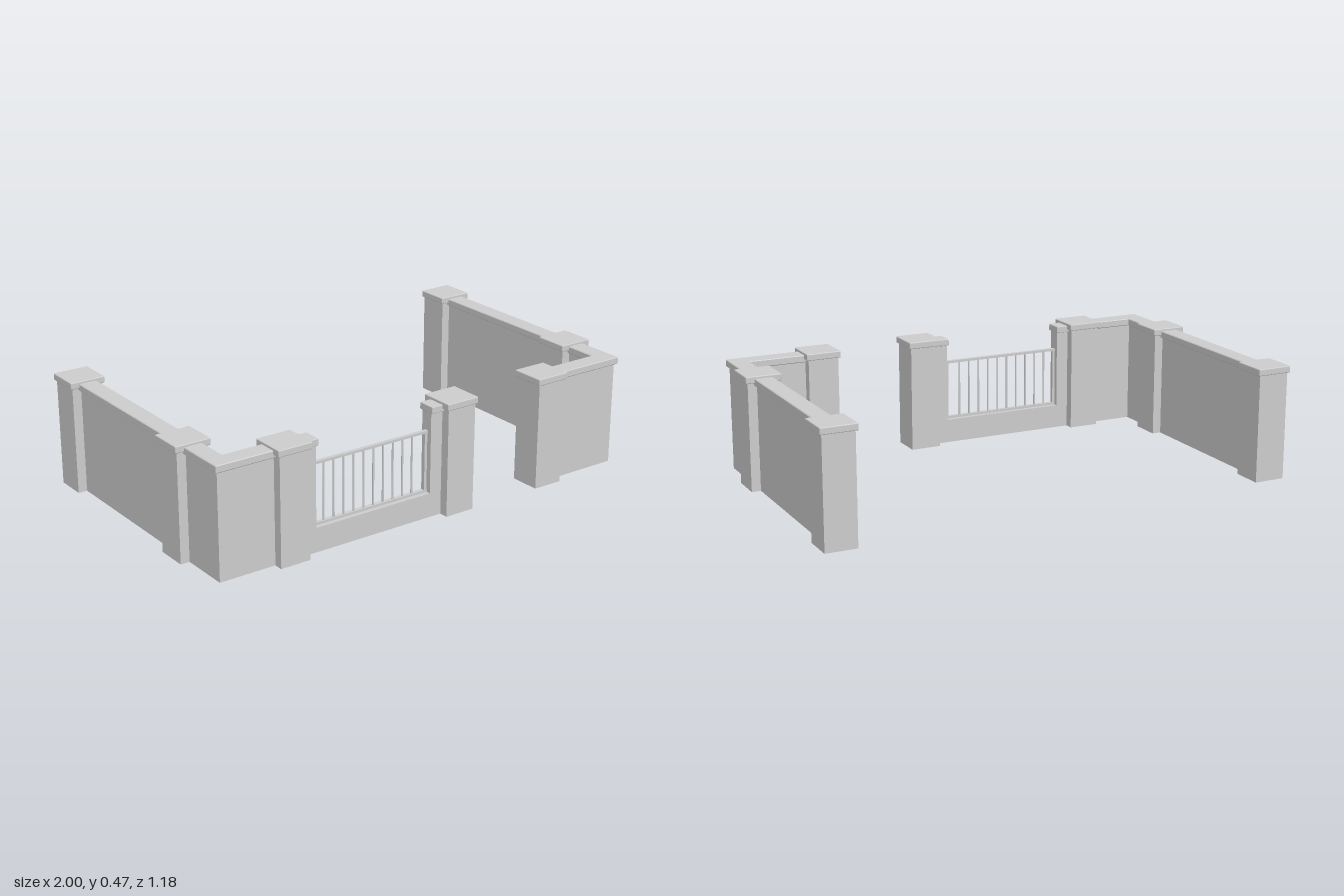
import * as THREE from 'three';
import { RoundedBoxGeometry } from 'three/addons/geometries/RoundedBoxGeometry.js';

const material = new THREE.MeshStandardMaterial({ color: 0xcccccc });
const FRONT = 0.517;  // centre line of the front wall (z)
const SIDE = 0.925;   // centre line of the side walls (x)
const BACK = -0.52;

function add(parent, name, geometry, x = 0, y = 0, z = 0) {
  const mesh = new THREE.Mesh(geometry, material);
  mesh.name = name;
  mesh.position.set(x, y, z);
  parent.add(mesh);
  return mesh;
}

// Box given by its limits on each axis
function block(parent, name, x0, x1, y0, y1, z0, z1) {
  return add(parent, name, new THREE.BoxGeometry(x1 - x0, y1 - y0, z1 - z0),
    (x0 + x1) / 2, (y0 + y1) / 2, (z0 + z1) / 2);
}

// Square pillar with an overhanging slab cap
function pillar(parent, name, x, z) {
  const group = new THREE.Group();
  group.name = name;
  group.position.set(x, 0, z);
  add(group, 'pillarShaft', new THREE.BoxGeometry(0.13, 0.442, 0.13), 0, 0.221, 0);
  add(group, 'pillarCap', new RoundedBoxGeometry(0.148, 0.028, 0.146, 2, 0.004), 0, 0.456, 0);
  parent.add(group);
}

// L-shaped run from the back pillar round the corner to a front pillar
function cornerRun(side, xEnd, half, y0, y1, bevel) {
  const outline = [
    [SIDE + half, BACK], [SIDE + half, FRONT + half], [xEnd, FRONT + half],
    [xEnd, FRONT - half], [SIDE - half, FRONT - half], [SIDE - half, BACK],
  ].map(([x, z]) => new THREE.Vector2(side * x, -z));
  const geometry = new THREE.ExtrudeGeometry(new THREE.Shape(outline), {
    depth: y1 - y0 - 2 * bevel,
    bevelEnabled: bevel > 0,
    bevelSize: bevel, bevelThickness: bevel, bevelOffset: -bevel, bevelSegments: 1,
  });
  geometry.rotateX(-Math.PI / 2);
  geometry.translate(0, y0 + bevel, 0);
  return geometry;
}

export function createModel() {
  const model = new THREE.Group();
  model.name = 'gardenWall';

  // Side walls with their corners, coping and pillars
  for (const [side, label, xEnd] of [[1, 'left', 0.58], [-1, 'right', 0.648]]) {
    add(model, label + 'Wall', cornerRun(side, xEnd, 0.027, 0, 0.432, 0));
    add(model, label + 'Coping', cornerRun(side, xEnd, 0.038, 0.43, 0.46, 0.003));
    pillar(model, label + 'BackPillar', side * SIDE, BACK);
    pillar(model, label + 'MiddlePillar', side * SIDE, 0.271);
    pillar(model, label + 'FrontPillar', side * xEnd, FRONT);
  }
  pillar(model, 'entrancePillar', 0.122, FRONT);

  // Low wall under the railing, with a capped stub at each end
  block(model, 'lowWall', -0.6, 0.07, 0, 0.1, FRONT - 0.027, FRONT + 0.027);
  for (const [x0, x1, c0, c1] of [[-0.6, -0.53, -0.6, -0.525], [0.003, 0.07, -0.001, 0.07]]) {
    block(model, 'wallStub', x0, x1, 0.1, 0.432, FRONT - 0.027, FRONT + 0.027);
    add(model, 'stubCap', new RoundedBoxGeometry(c1 - c0, 0.028, 0.076, 2, 0.003),
      (c0 + c1) / 2, 0.445, FRONT);
  }

  // Metal railing
  const railing = new THREE.Group();
  railing.name = 'railing';
  model.add(railing);
  for (const y of [0.1, 0.345]) {
    block(railing, 'rail', -0.53, 0.003, y, y + 0.01, FRONT - 0.008, FRONT + 0.008);
  }
  for (const x of [-0.525, -0.005]) {
    block(railing, 'endPost', x - 0.006, x + 0.006, 0.1, 0.355, FRONT - 0.008, FRONT + 0.008);
  }
  for (let i = 0; i < 10; i++) {
    const x = -0.478 + i * 0.0457;
    add(railing, 'bar', new THREE.CylinderGeometry(0.004, 0.004, 0.24, 8), x, 0.228, FRONT);
  }
  return model;
}
